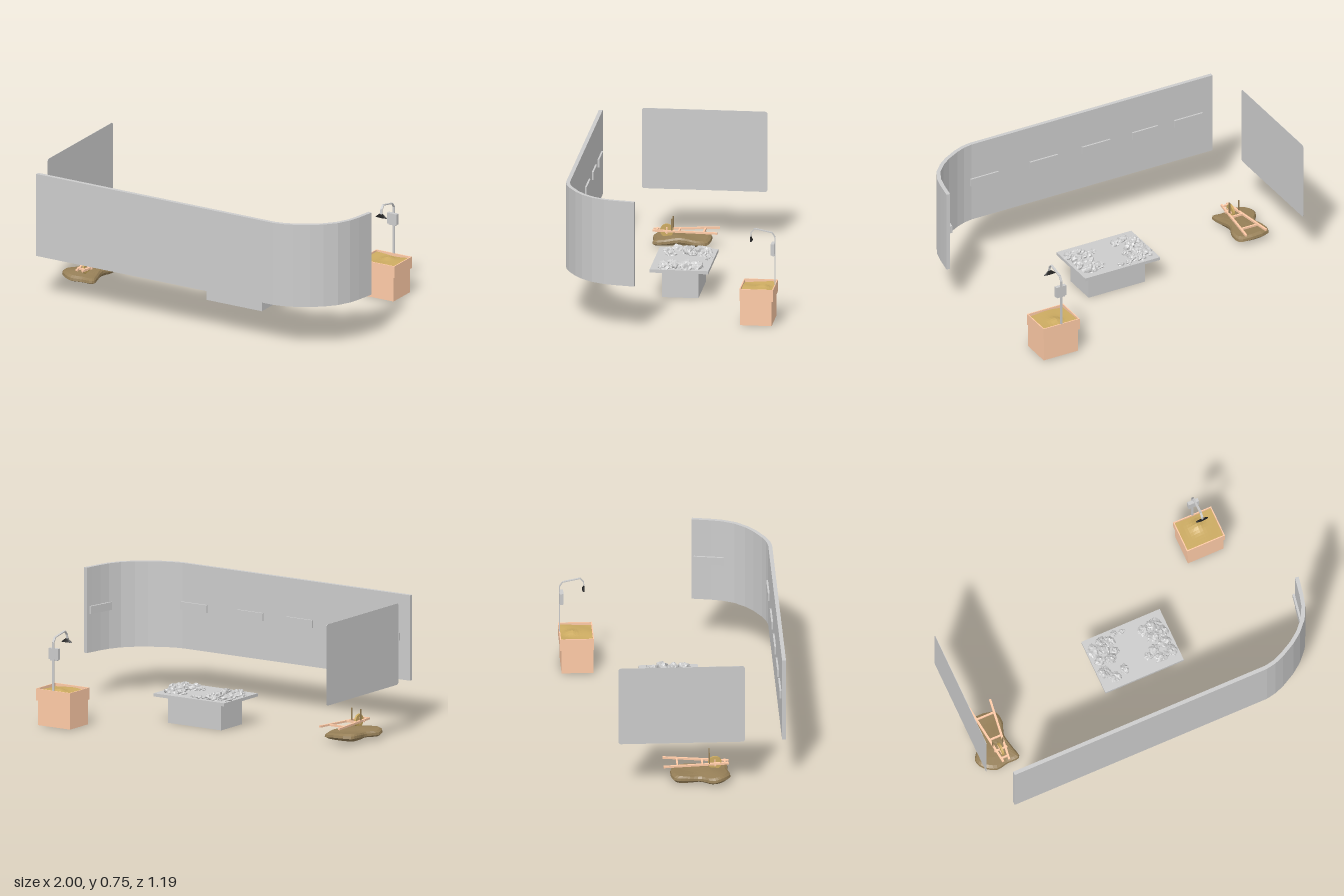
import * as THREE from 'three';

const material = (color) => new THREE.MeshStandardMaterial({ color, flatShading: true, side: THREE.DoubleSide });
const grey = material(0xcccccc);
const tan = material(0xffcba7);
const sand = material(0xccab61);
const earth = material(0x967f57);
const black = material(0x222222);

export function createModel() {
  const root = new THREE.Group();
  const group = (name) => {
    const g = new THREE.Group();
    g.name = name;
    root.add(g);
    return g;
  };
  const add = (parent, name, geometry, mat) => {
    const mesh = new THREE.Mesh(geometry, mat);
    mesh.name = name;
    parent.add(mesh);
    return mesh;
  };
  // Box given by its limits on each axis
  const box = (parent, name, [x0, x1], [y0, y1], [z0, z1], mat) => {
    const m = add(parent, name, new THREE.BoxGeometry(x1 - x0, y1 - y0, z1 - z0), mat);
    m.position.set((x0 + x1) / 2, (y0 + y1) / 2, (z0 + z1) / 2);
    return m;
  };
  // Rectangular bar from one point to another
  const beam = (parent, name, from, to, w, h, mat) => {
    const a = new THREE.Vector3(...from), b = new THREE.Vector3(...to);
    const m = add(parent, name, new THREE.BoxGeometry(w, h, a.distanceTo(b)), mat);
    m.position.copy(a).lerp(b, 0.5);
    m.lookAt(b);
    return m;
  };
  // Horizontal outline (x, z) raised between two heights
  const raise = (points, y0, y1) => {
    const shape = new THREE.Shape(points.map(([x, z]) => new THREE.Vector2(x, -z)));
    return new THREE.ExtrudeGeometry(shape, { depth: y1 - y0, bevelEnabled: false })
      .rotateX(-Math.PI / 2).translate(0, y0, 0);
  };

  // Curved wall: a centre line thickened to both sides
  const wall = group('curvedWall');
  const line = [[-0.932, 0.584], [0.61, 0.584], [0.665, 0.574], [0.72, 0.553], [0.8, 0.51], [0.86, 0.465],
    [0.915, 0.405], [0.95, 0.335], [0.967, 0.27], [0.978, 0.21], [0.986, 0.165]];
  const side = (s) => line.map(([x, z], i) => {
    const a = line[Math.max(i - 1, 0)], b = line[Math.min(i + 1, line.length - 1)];
    // Keep the long straight run exactly straight
    const dx = i === 1 ? 1 : b[0] - a[0], dz = i === 1 ? 0 : b[1] - a[1];
    const l = Math.hypot(dx, dz);
    return [x - dz / l * s, z + dx / l * s];
  });
  add(wall, 'wallShell', raise([...side(0.011), ...side(-0.011).reverse()], 0.263, 0.75), grey);

  // Small plaques on the inner face
  [[-0.775, 0.18], [-0.497, 0.16], [-0.185, 0.18], [0.15, 0.18], [0.53, 0.18]].forEach(([x, w]) =>
    box(wall, 'plaque', [x - w / 2, x + w / 2], [0.485, 0.53], [0.563, 0.575], grey));
  const endPlaque = box(wall, 'plaque', [0.862, 1.032], [0.485, 0.53], [0.253, 0.265], grey);
  endPlaque.rotation.y = 1.4;

  // Thin side panel with slightly rounded corners
  const panel = new THREE.Shape();
  const r = 0.014, hw = 0.353, hh = 0.232;
  [[hw, hh, 0], [-hw, hh, 1], [-hw, -hh, 2], [hw, -hh, 3]].forEach(([x, y, q]) =>
    panel.absarc(x - Math.sign(x) * r, y - Math.sign(y) * r, r, q * Math.PI / 2, (q + 1) * Math.PI / 2));
  panel.closePath();
  const screen = add(root, 'sidePanel', new THREE.ExtrudeGeometry(panel,
    { depth: 0.002, bevelEnabled: false, curveSegments: 5 }).rotateY(Math.PI / 2), grey);
  screen.position.set(-1, 0.519, 0.008);

  // Display table
  const table = group('displayTable');
  box(table, 'tableBase', [-0.12, 0.24], [0, 0.157], [-0.105, 0.1], grey);
  box(table, 'tableTop', [-0.183, 0.296], [0.155, 0.173], [-0.167, 0.163], grey);

  // Craggy rocks: x, z, half width, half depth, height
  const rocks = [
    [-0.135, -0.085, 0.042, 0.05, 0.026], [-0.085, -0.12, 0.03, 0.03, 0.03], [-0.04, -0.105, 0.034, 0.035, 0.03],
    [-0.08, -0.07, 0.03, 0.035, 0.042], [-0.135, -0.02, 0.038, 0.03, 0.028], [-0.075, -0.005, 0.035, 0.032, 0.046],
    [-0.03, -0.04, 0.022, 0.025, 0.026], [-0.14, 0.055, 0.036, 0.04, 0.03], [-0.095, 0.1, 0.035, 0.035, 0.026],
    [-0.03, 0.08, 0.026, 0.034, 0.026], [0.045, -0.13, 0.026, 0.016, 0.014], [0.0, -0.135, 0.02, 0.02, 0.018],
    [0.165, -0.085, 0.038, 0.035, 0.026], [0.225, -0.09, 0.045, 0.045, 0.034], [0.255, -0.04, 0.034, 0.038, 0.042],
    [0.195, -0.03, 0.042, 0.035, 0.036], [0.24, 0.025, 0.045, 0.035, 0.032], [0.17, 0.04, 0.035, 0.03, 0.024],
    [0.125, 0.065, 0.025, 0.026, 0.018], [0.19, 0.095, 0.045, 0.032, 0.026], [0.26, 0.085, 0.03, 0.038, 0.03],
  ];
  rocks.forEach(([x, z, w, d, h], n) => {
    const geo = new THREE.IcosahedronGeometry(1, 3);
    const p = geo.attributes.position;
    const v = new THREE.Vector3();
    for (let i = 0; i < p.count; i++) {
      v.fromBufferAttribute(p, i);
      const k = 0.9 + 0.14 * Math.sin(5 * v.x + n * 2.1) * Math.cos(4 * v.z - n)
        + 0.11 * Math.sin(9 * v.y + 7 * v.x + n) + 0.08 * Math.sin(13 * v.z - 8 * v.x + 3 * n);
      p.setXYZ(i, v.x * k * w, Math.max(v.y, -0.1) * k * h, v.z * k * d);
    }
    geo.computeVertexNormals();
    add(table, 'rock', geo, grey).position.set(x, 0.173, z);
  });

  // Sand box with a raised collar
  const planter = group('sandBox');
  box(planter, 'boxBody', [0.576, 0.794], [0.004, 0.15], [-0.583, -0.405], tan);
  const collar = new THREE.Shape([[0.569, 0.402], [0.801, 0.402], [0.801, 0.592], [0.569, 0.592]]
    .map(([x, y]) => new THREE.Vector2(x, y)));
  collar.holes.push(new THREE.Path([[0.575, 0.408], [0.575, 0.586], [0.795, 0.586], [0.795, 0.408]]
    .map(([x, y]) => new THREE.Vector2(x, y))));
  add(planter, 'boxCollar', new THREE.ExtrudeGeometry(collar, { depth: 0.068, bevelEnabled: false })
    .rotateX(-Math.PI / 2).translate(0, 0.146, 0), tan);
  const fill = new THREE.PlaneGeometry(0.22, 0.178, 12, 10).rotateX(-Math.PI / 2);
  const fp = fill.attributes.position;
  for (let i = 0; i < fp.count; i++) {
    const x = fp.getX(i), z = fp.getZ(i);
    fp.setY(i, 0.004 * Math.sin(30 * x + 20 * z) + 0.018 * Math.exp(-(x * x + (z + 0.028) ** 2) / 0.0012));
  }
  fill.computeVertexNormals();
  add(planter, 'sandSurface', fill, sand).position.set(0.685, 0.2, -0.497);

  // Shower pole, bent arm, control box and spray head
  const shower = group('shower');
  const arm = [[0.155, -0.589], [0.49, -0.589], [0.516, -0.572], [0.536, -0.475], [0.513, -0.455], [0.488, -0.452]];
  arm.slice(1).forEach(([y, z], i) =>
    beam(shower, i ? 'showerArm' : 'showerPole', [0.685, arm[i][0], arm[i][1]], [0.685, y, z], 0.013, 0.005, grey));
  box(shower, 'controlBox', [0.653, 0.717], [0.392, 0.455], [-0.589, -0.568], grey);
  box(shower, 'controlBoxFoot', [0.662, 0.708], [0.385, 0.392], [-0.587, -0.571], grey);
  const head = add(shower, 'sprayHead', new THREE.CylinderGeometry(0.006, 0.038, 0.026, 16), black);
  head.scale.z = 0.2;
  head.rotation.x = 0.15;
  head.position.set(0.685, 0.48, -0.454);

  // Earth mound: outline rings shrinking toward the top and bottom
  const outline = [[-0.95, -0.033], [-0.773, -0.033], [-0.757, 0.037], [-0.783, 0.117], [-0.768, 0.2], [-0.757, 0.27],
    [-0.83, 0.275], [-0.906, 0.286], [-0.976, 0.24], [-0.992, 0.186], [-0.95, 0.117], [-0.962, 0.037]];
  const curve = new THREE.CatmullRomCurve3(outline.map(([x, z]) => new THREE.Vector3(x, 0, z)), true);
  const around = 40, rings = [[0, 0.024], [0.9, 0.02], [1, 0.032], [0.98, 0.046], [0.88, 0.056], [0.6, 0.058], [0.3, 0.06], [0, 0.06]];
  const verts = [], faces = [];
  rings.forEach(([s, y], j) => {
    for (let i = 0; i < around; i++) {
      const p = curve.getPoint(i / around);
      const x = -0.87 + (p.x + 0.87) * s, z = 0.125 + (p.z - 0.125) * s;
      verts.push(x, y + (j > 1 ? 0.005 * Math.sin(26 * z + 18 * x) : 0), z);
      if (!j) continue;
      const a = (j - 1) * around + i, b = (j - 1) * around + (i + 1) % around;
      faces.push(a, a + around, b, b, a + around, b + around);
    }
  });
  const mound = new THREE.BufferGeometry();
  mound.setAttribute('position', new THREE.Float32BufferAttribute(verts, 3));
  mound.setIndex(faces);
  mound.computeVertexNormals();
  add(root, 'earthMound', mound, earth);

  // Hand cart resting on the mound
  const cart = group('handCart');
  for (const s of [-1, 1]) {
    beam(cart, 'cartRail', [-0.841 + s * 0.064, 0.098, -0.088], [-0.841 + s * 0.018, 0.092, 0.278], 0.012, 0.011, tan);
    box(cart, 'cartPost', s < 0 ? [-0.878, -0.872] : [-0.818, -0.812], [0.088, 0.165], [0.167, 0.174], earth);
  }
  [[-0.01, 0.056], [0.13, 0.042], [0.256, 0.026]].forEach(([z, w]) =>
    box(cart, 'crossBar', [-0.841 - w, -0.841 + w], [0.09, 0.101], [z - 0.005, z + 0.005], tan));

  // Wheel with axle and crossed spokes
  const wheel = add(cart, 'wheel', new THREE.CylinderGeometry(0.038, 0.038, 0.012, 24).rotateZ(Math.PI / 2), sand);
  wheel.position.set(-0.841, 0.09, 0.202);
  box(cart, 'axle', [-0.88, -0.802], [0.085, 0.095], [0.197, 0.207], tan);
  box(cart, 'spoke', [-0.85, -0.832], [0.07, 0.11], [0.198, 0.206], tan);
  box(cart, 'spoke', [-0.85, -0.832], [0.086, 0.094], [0.175, 0.229], tan);

  return root;
}
